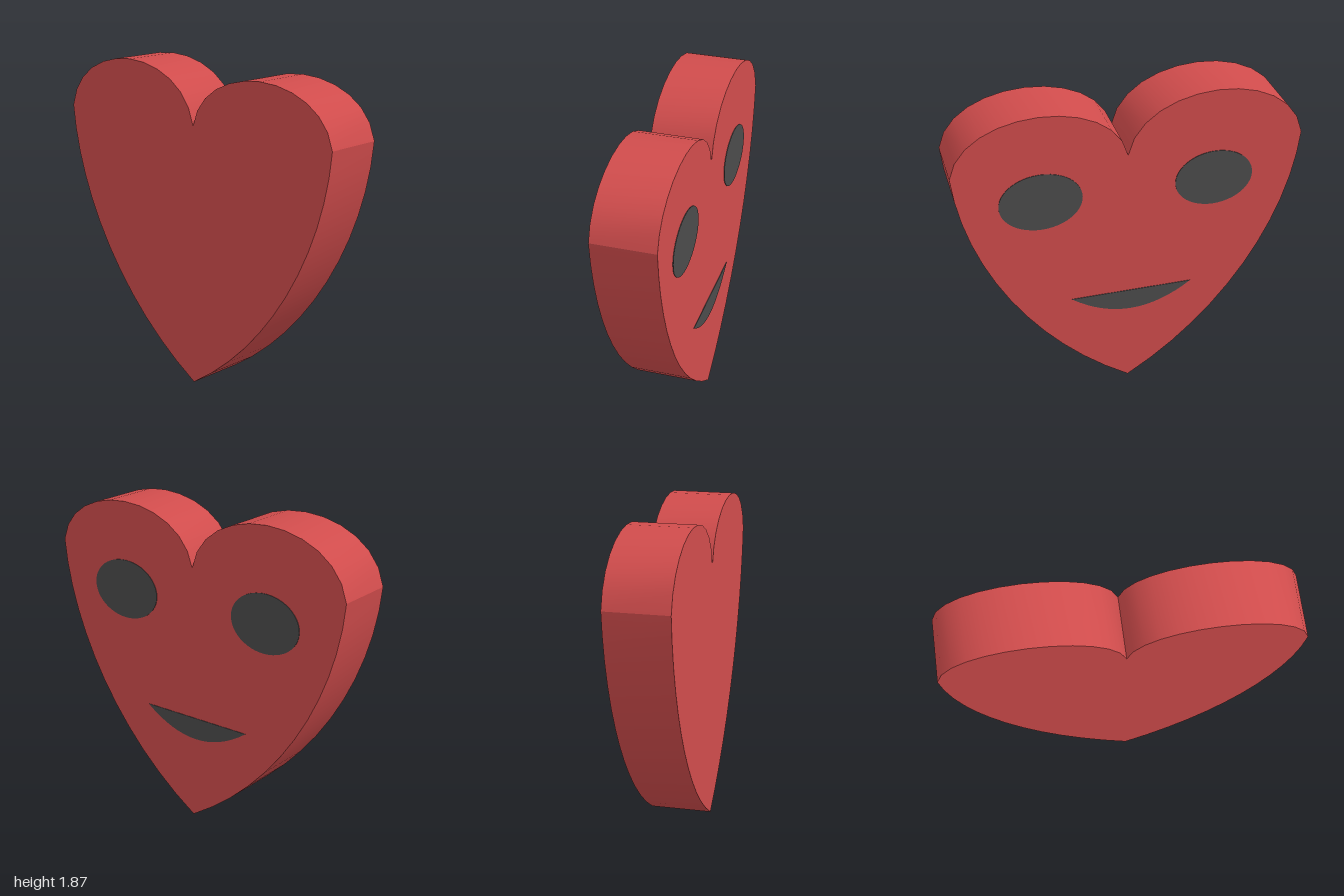
import * as THREE from 'three';
import { toCreasedNormals } from 'three/addons/utils/BufferGeometryUtils.js';

const THICKNESS = 0.362;
const MID = -0.015;      // line through the cleft and the bottom tip
const SHOULDER = 1.54;   // height of the cleft and the widest points

// Outline drawn as seen from +x: shape x runs towards -z.
function heartShape() {
  const shape = new THREE.Shape();
  const left = -1, right = 1;
  const lobe = (from, to, top) => {
    const c = (from + to) / 2, h = ((to - from) / 2) * 0.85;
    const y = SHOULDER + (top - SHOULDER) * 4 / 3;
    shape.bezierCurveTo(c - h, y, c + h, y, to, SHOULDER);
  };
  const flankX = (edge, f) => MID + (edge - MID) * f;
  shape.moveTo(MID, 0);
  shape.bezierCurveTo(flankX(left, 0.59), 0.358, flankX(left, 0.957), 0.979, left, SHOULDER);
  lobe(left, MID, 1.845);
  lobe(MID, right, 1.87);
  shape.bezierCurveTo(flankX(right, 0.957), 0.979, flankX(right, 0.59), 0.358, MID, 0);
  return shape;
}

function eyeShape(x, y, rx, ry) {
  const shape = new THREE.Shape();
  shape.absellipse(x, y, rx, ry, 0, Math.PI * 2);
  return shape;
}

function mouthShape() {
  const shape = new THREE.Shape();
  shape.moveTo(-0.353, 0.632);
  shape.quadraticCurveTo(0.005, 0.368, 0.366, 0.632);
  shape.closePath();
  return shape;
}

export function createModel() {
  const red = new THREE.MeshStandardMaterial({ color: 0xd04c4c });
  red.name = 'heart red';
  const grey = new THREE.MeshStandardMaterial({ color: 0x4b4b4b });
  grey.name = 'dark grey';

  const model = new THREE.Group();
  model.name = 'smilingHeart';

  // Extrudes a shape along +x, starting at the given x
  const addPlate = (name, shape, depth, x, material, curveSegments) => {
    const geometry = new THREE.ExtrudeGeometry(shape, { depth, bevelEnabled: false, curveSegments });
    geometry.translate(0, 0, x);
    geometry.rotateY(Math.PI / 2);
    const mesh = new THREE.Mesh(toCreasedNormals(geometry, 0.38), material);
    mesh.name = name;
    model.add(mesh);
  };

  // Body
  addPlate('heartBody', heartShape(), THICKNESS, -THICKNESS / 2, red, 12);

  // Face, thin plates on the +x side
  const faceX = THICKNESS / 2 - 0.002;
  addPlate('leftEye', eyeShape(0.488, 1.32, 0.228, 0.172), 0.005, faceX, grey, 24);
  addPlate('rightEye', eyeShape(-0.512, 1.32, 0.236, 0.176), 0.005, faceX, grey, 24);
  addPlate('mouth', mouthShape(), 0.005, faceX, grey, 16);

  // The heart stands turned very slightly
  model.rotation.y = -0.0125;
  return model;
}
